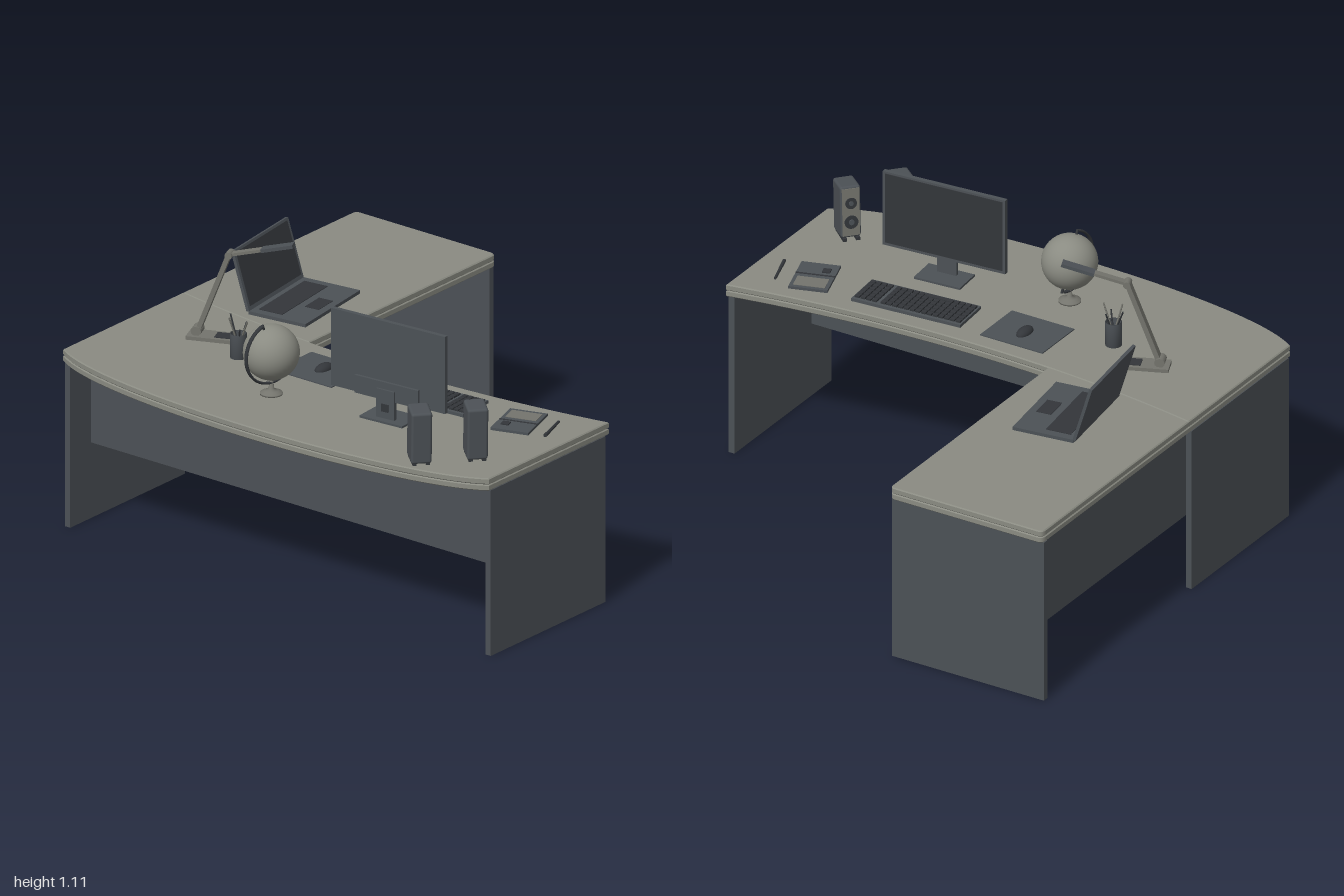
import * as THREE from 'three';
import { RoundedBoxGeometry } from 'three/addons/geometries/RoundedBoxGeometry.js';

const mat = (name, color) => Object.assign(new THREE.MeshStandardMaterial({ color }), { name });
const stone = mat('stone grey', 0x8a8b82);
const slate = mat('slate', 0x4c5156);
const dark = mat('charcoal', 0x33363a);
const metal = mat('grey metal', 0x74746d);

const TOP = 0.705; // height of the work surface

function add(parent, name, geometry, material, x = 0, y = 0, z = 0) {
  const mesh = new THREE.Mesh(geometry, material);
  mesh.name = name;
  mesh.position.set(x, y, z);
  parent.add(mesh);
  return mesh;
}
const box = (parent, name, m, w, h, d, x, y, z) =>
  add(parent, name, new THREE.BoxGeometry(w, h, d), m, x, y, z);

// Box between two corner points
function span(parent, name, m, a, b) {
  return box(parent, name, m, b[0] - a[0], b[1] - a[1], b[2] - a[2],
    (a[0] + b[0]) / 2, (a[1] + b[1]) / 2, (a[2] + b[2]) / 2);
}
// Cylinder between two points
function rod(parent, name, m, a, b, r0, r1 = r0, sides = 12) {
  const p = new THREE.Vector3(...a), q = new THREE.Vector3(...b), d = q.clone().sub(p);
  const mesh = add(parent, name, new THREE.CylinderGeometry(r1, r0, d.length(), sides), m);
  mesh.position.copy(p).add(q).multiplyScalar(0.5);
  mesh.quaternion.setFromUnitVectors(new THREE.Vector3(0, 1, 0), d.normalize());
  return mesh;
}
function group(parent, name, x, z, turn = 0) {
  const g = new THREE.Group();
  g.name = name;
  g.position.set(x, TOP, z);
  g.rotation.y = turn;
  parent.add(g);
  return g;
}

function desk(root) {
  // Curved main top; shape y becomes z
  const main = new THREE.Shape();
  main.moveTo(-1, 0.07);
  main.quadraticCurveTo(0, 0.26, 1, 0.07);
  main.lineTo(1, 0.77);
  main.bezierCurveTo(0.7, 0.983, -0.7, 0.983, -1, 0.77);
  // Return top, fitted to the curved inner edge
  const side = new THREE.Shape();
  side.moveTo(-0.34, 0.154);
  side.quadraticCurveTo(-0.67, 0.133, -1, 0.07);
  side.lineTo(-1, -0.915);
  side.quadraticCurveTo(-1, -0.94, -0.975, -0.94);
  side.lineTo(-0.365, -0.94);
  side.quadraticCurveTo(-0.34, -0.94, -0.34, -0.915);
  for (const [name, shape] of [['mainTop', main], ['returnTop', side]]) {
    for (const y of [TOP, TOP - 0.025]) {
      const geo = new THREE.ExtrudeGeometry(shape, {
        depth: 0.017, bevelThickness: 0.004, bevelSize: 0.004, bevelOffset: -0.004,
        bevelSegments: 1, curveSegments: 32,
      });
      add(root, name, geo.rotateX(Math.PI / 2), stone, 0, y - 0.004, 0);
    }
  }
  // Side, end and modesty panels
  span(root, 'rightPanel', slate, [-1, 0, 0.09], [-0.975, 0.655, 0.76]);
  span(root, 'leftPanel', slate, [0.975, 0, 0.09], [1, 0.655, 0.76]);
  span(root, 'endPanel', slate, [-1, 0, -0.93], [-0.345, 0.655, -0.905]);
  span(root, 'frontModestyPanel', slate, [-0.975, 0.3, 0.62], [0.975, 0.655, 0.64]);
  span(root, 'returnModestyPanel', slate, [-0.975, 0.3, -0.905], [-0.955, 0.655, 0.62]);
}

function monitor(root) {
  const g = group(root, 'monitor', 0.35, 0.54, 0.08);
  box(g, 'monitorBase', slate, 0.19, 0.008, 0.12, 0, 0.004, 0);
  box(g, 'monitorNeck', slate, 0.08, 0.12, 0.015, 0, 0.06, 0.025);
  box(g, 'neckSlot', dark, 0.03, 0.03, 0.004, 0, 0.05, 0.034);
  box(g, 'monitorBody', slate, 0.505, 0.305, 0.018, 0, 0.23, 0.005);
  box(g, 'backCover', slate, 0.28, 0.07, 0.012, 0, 0.112, 0.019);
  box(g, 'monitorScreen', dark, 0.485, 0.285, 0.003, 0, 0.232, -0.005);
}

function keyboard(root) {
  const g = group(root, 'keyboard', 0.325, 0.305, 0.078);
  box(g, 'keyboardBody', slate, 0.45, 0.012, 0.165, 0, 0.006, 0);
  for (let r = 0; r < 6; r++) {
    for (let c = 0; c < 18; c++) {
      if (r === 5 && c > 3 && c < 9) continue;
      const gap = c > 13 ? 0.012 : 0;
      box(g, 'key', dark, 0.019, 0.007, 0.019, -0.208 + c * 0.0238 + gap, 0.0155, 0.06 - (5 - r) * 0.024);
    }
  }
  box(g, 'spaceBar', dark, 0.115, 0.007, 0.019, -0.065, 0.0155, 0.06);
}

function laptop(root) {
  const g = group(root, 'laptop', -0.705, -0.105, 0.13);
  box(g, 'laptopBase', slate, 0.245, 0.013, 0.385, 0.122, 0.0065, 0);
  box(g, 'laptopKeys', dark, 0.1, 0.003, 0.32, 0.075, 0.0135, 0);
  box(g, 'touchpad', dark, 0.06, 0.002, 0.1, 0.185, 0.0135, 0);
  const lid = new THREE.Group();
  lid.name = 'laptopLid';
  lid.position.y = 0.012;
  lid.rotation.z = 0.29;
  g.add(lid);
  box(lid, 'lidShell', slate, 0.012, 0.235, 0.385, -0.003, 0.117, 0);
  box(lid, 'laptopScreen', dark, 0.003, 0.21, 0.36, 0.003, 0.12, 0);
}

function lamp(root) {
  const g = group(root, 'lamp', -0.69, 0.37, 0.4);
  box(g, 'lampBase', metal, 0.19, 0.014, 0.08, 0.06, 0.007, 0);
  box(g, 'lampBasePad', dark, 0.06, 0.004, 0.05, 0.1, 0.015, 0);
  const hinge = rod(g, 'lampHinge', metal, [0, 0.03, -0.025], [0, 0.03, 0.025], 0.02);
  hinge.scale.z = 0.9;
  const lower = box(g, 'lampLowerArm', metal, 0.018, 0.33, 0.034, 0.062, 0.185, 0);
  lower.rotation.z = -0.36;
  rod(g, 'lampElbow', metal, [0.122, 0.34, -0.022], [0.122, 0.34, 0.022], 0.014);
  const upper = box(g, 'lampUpperArm', metal, 0.13, 0.011, 0.028, 0.183, 0.356, 0);
  upper.rotation.z = 0.25;
  const head = box(g, 'lampHead', slate, 0.125, 0.013, 0.038, 0.305, 0.387, 0);
  head.rotation.z = 0.25;
}

function globe(root) {
  const g = group(root, 'globe', -0.135, 0.63, -0.2);
  const cy = 0.165, r = 0.105, R = 0.114;
  const foot = [[0, 0], [0.042, 0], [0.042, 0.006], [0.025, 0.014], [0.01, 0.022], [0.008, 0.05], [0, 0.05]];
  add(g, 'globeFoot', new THREE.LatheGeometry(foot.map(p => new THREE.Vector2(...p)), 28), metal);
  add(g, 'globeBall', new THREE.SphereGeometry(r, 40, 24), stone, 0, cy, 0);
  // Half-ring holder on the front side, ending at the tilted poles
  const ring = add(g, 'globeMeridian', new THREE.TorusGeometry(R + 0.006, 0.005, 8, 40, Math.PI), dark, 0, cy, 0);
  ring.rotation.set(0, -Math.PI / 2, -1.92, 'YZX');
  ring.scale.z = 1.8;
  const py = Math.sin(1.22), pz = Math.cos(1.22);
  for (const s of [-1, 1]) {
    rod(g, 'globePin', dark, [0, cy + s * py * 0.1, s * pz * 0.1], [0, cy + s * py * 0.124, s * pz * 0.124], 0.005);
  }
}

function speaker(root, x, z) {
  const g = group(root, 'speaker', x, z, 0.85);
  for (const s of [-1, 1]) box(g, 'speakerFoot', dark, 0.015, 0.012, 0.1, s * 0.025, 0.006, 0);
  const b = new THREE.Group();
  b.name = 'speakerBody';
  b.position.y = 0.008;
  b.rotation.x = 0.07;
  g.add(b);
  add(b, 'speakerCabinet', new RoundedBoxGeometry(0.078, 0.205, 0.1, 2, 0.01), slate, 0, 0.104, 0.004);
  box(b, 'speakerFront', metal, 0.066, 0.188, 0.006, 0, 0.104, -0.046);
  for (const [y, r] of [[0.065, 0.026], [0.14, 0.022]]) {
    rod(b, 'speakerCone', dark, [0, y, -0.047], [0, y, -0.053], r, r, 24);
    rod(b, 'coneCap', slate, [0, y, -0.05], [0, y, -0.056], r * 0.45, r * 0.4, 16);
  }
}

function smallItems(root) {
  // Mouse on its mat
  const pad = group(root, 'mousePad', -0.133, 0.34);
  box(pad, 'mat', slate, 0.27, 0.004, 0.22, 0, 0.002, 0);
  const mouse = add(pad, 'mouse', new THREE.SphereGeometry(1, 20, 10, 0, Math.PI * 2, 0, Math.PI / 2), dark, 0.004, 0.004, -0.01);
  mouse.scale.set(0.025, 0.022, 0.045);

  // Cup with pencils
  const cup = group(root, 'pencilCup', -0.45, 0.43);
  const wall = [[0, 0], [0.031, 0], [0.031, 0.095], [0.027, 0.095], [0.027, 0.01], [0, 0.01]];
  add(cup, 'cup', new THREE.LatheGeometry(wall.map(p => new THREE.Vector2(...p)), 24), slate);
  const tips = [[-0.05, 0.155, -0.015], [-0.02, 0.16, 0.03], [0.015, 0.135, -0.03], [0.05, 0.155, 0.01], [0.03, 0.125, 0.03]];
  tips.forEach(([x, y, z], i) =>
    rod(cup, 'pencil', i % 2 ? metal : dark, [-x * 0.25, 0.012, -z * 0.25], [x, y, z], 0.004, 0.003, 6));

  // Notebook and pen
  const book = group(root, 'notebook', 0.75, 0.283, 0.31);
  box(book, 'notebookCover', slate, 0.148, 0.01, 0.2, 0, 0.005, 0);
  box(book, 'notebookLabel', metal, 0.12, 0.002, 0.07, 0, 0.0105, -0.05);
  box(book, 'notebookBand', dark, 0.148, 0.002, 0.008, 0, 0.0105, 0.01);
  box(book, 'notebookClip', dark, 0.03, 0.005, 0.03, -0.035, 0.012, 0.045);
  rod(root, 'pen', dark, [0.865, TOP + 0.007, 0.195], [0.91, TOP + 0.007, 0.33], 0.005, 0.007, 10);
}

export function createModel() {
  const root = new THREE.Group();
  root.name = 'cornerDesk';
  desk(root);
  monitor(root);
  keyboard(root);
  laptop(root);
  lamp(root);
  globe(root);
  speaker(root, 0.69, 0.793);
  speaker(root, 0.825, 0.633);
  smallItems(root);
  return root;
}
